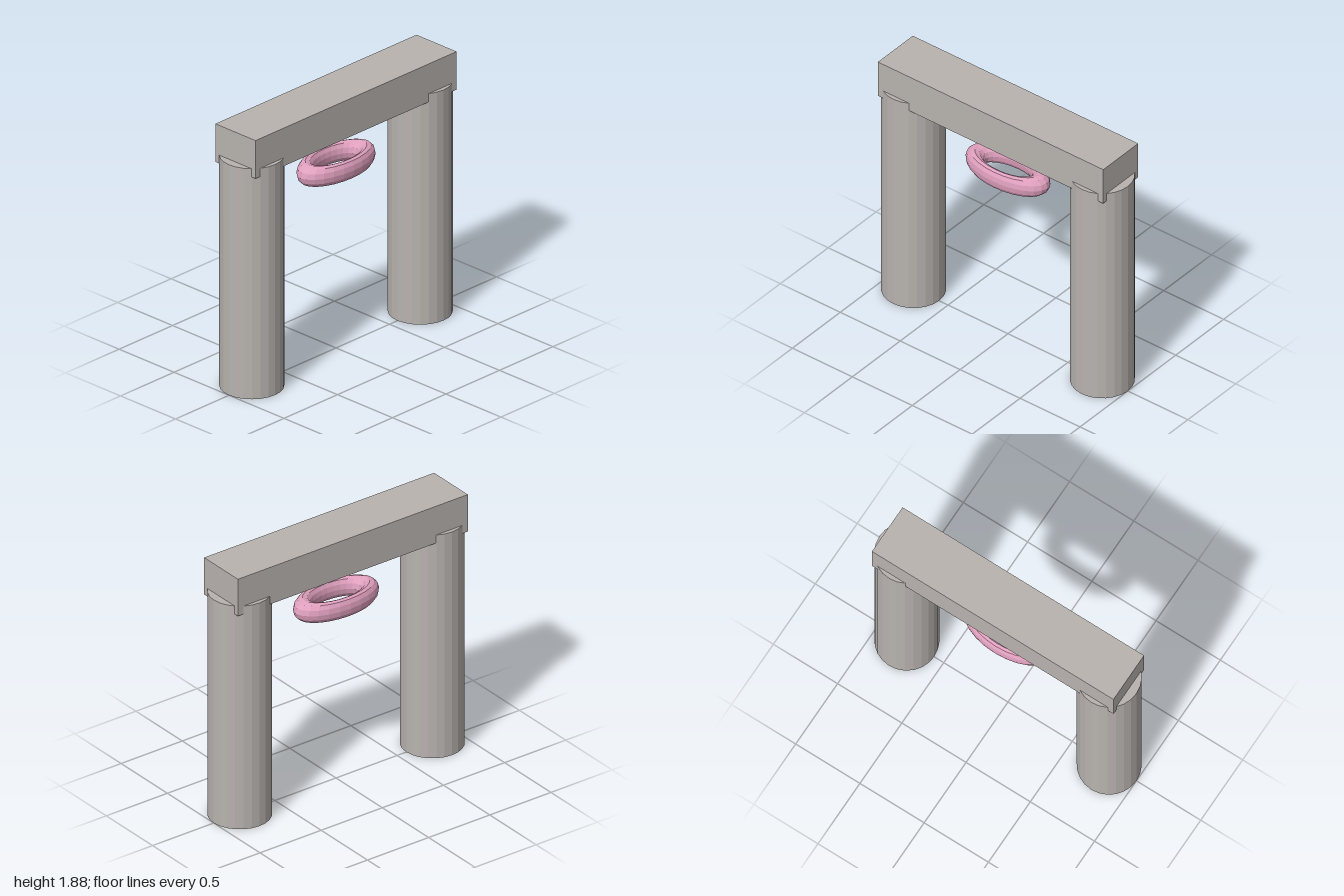
import * as THREE from 'three';

export function createModel() {
  const group = new THREE.Group();

  const flat = (name, color) => {
    const material = new THREE.MeshStandardMaterial({ color, flatShading: true });
    material.name = name;
    return material;
  };
  const stone = flat('warm grey stone', 0xb8b3af);
  const pink = flat('soft pink', 0xe0a0be);

  const add = (name, geometry, material, x, y, z) => {
    const mesh = new THREE.Mesh(geometry, material);
    mesh.name = name;
    mesh.position.set(x, y, z);
    group.add(mesh);
    return mesh;
  };

  // Two round columns, their tops sunk into the beam
  const columnHeight = 1.665;
  const column = new THREE.CylinderGeometry(0.2125, 0.2125, columnHeight, 24);
  add('leftColumn', column, stone, 0.7875, columnHeight / 2, 0);
  add('rightColumn', column, stone, -0.7875, columnHeight / 2, 0);

  // Beam lying across the columns
  add('beam', new THREE.BoxGeometry(1.88, 0.275, 0.365), stone, 0, 1.7425, 0);

  // Floating ring, lying flat and squeezed front to back
  const ring = new THREE.TorusGeometry(0.2575, 0.0725, 12, 24);
  ring.rotateX(-Math.PI / 2);
  ring.scale(1, 1, 0.5);
  add('ring', ring, pink, 0, 1.3375, 0);

  return group;
}
